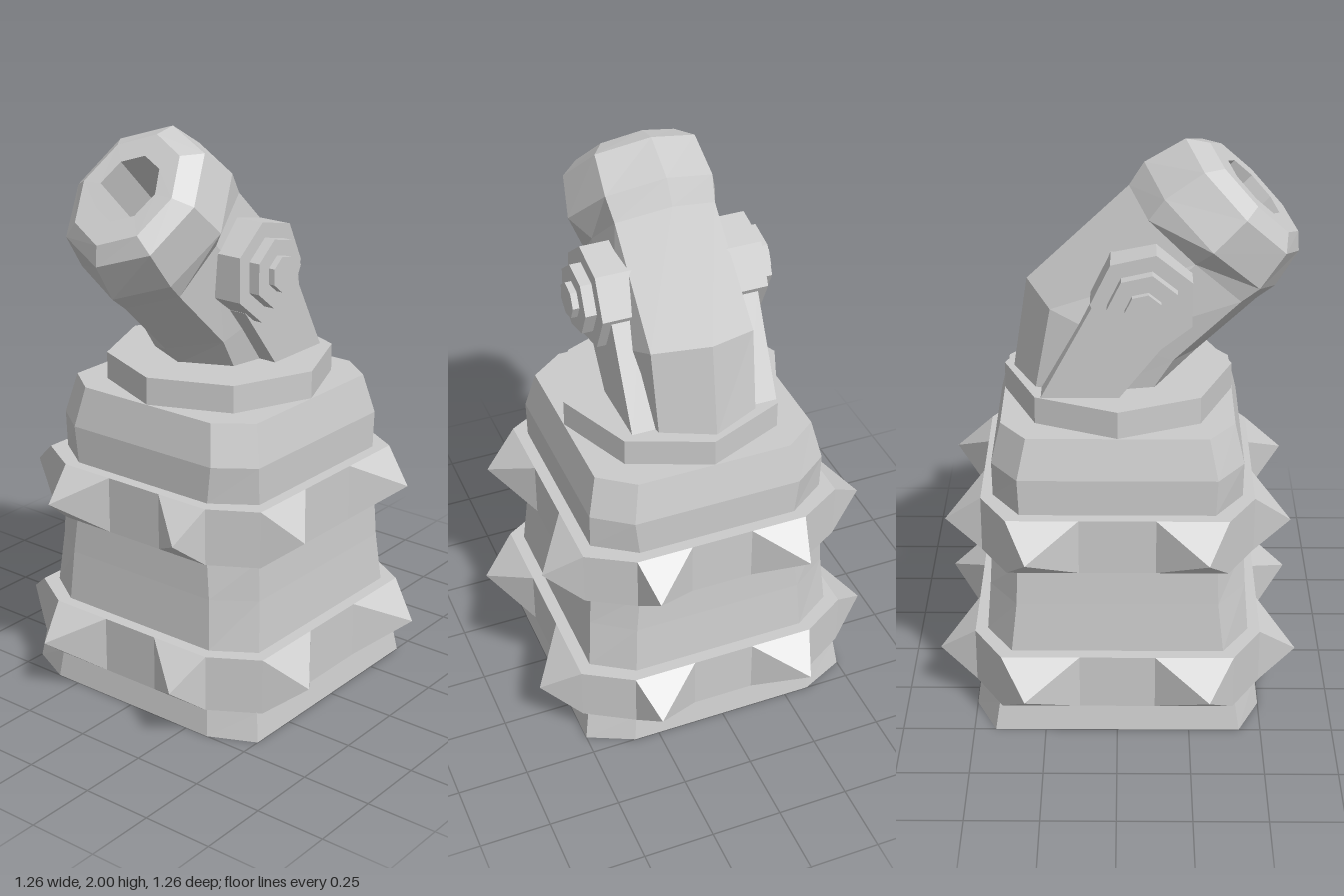
import * as THREE from 'three';
import { ConvexGeometry } from 'three/addons/geometries/ConvexGeometry.js';

const V = (x, y, z) => new THREE.Vector3(x, y, z);
const solid = new THREE.MeshStandardMaterial({ color: 0xcccccc, flatShading: true });
const shell = new THREE.MeshStandardMaterial({ color: 0xcccccc, flatShading: true, side: THREE.DoubleSide });
const MOUNT_X = -0.02; // the barrel and its mount sit slightly off centre

function add(parent, name, geometry, material = solid) {
  const mesh = new THREE.Mesh(geometry, material);
  mesh.name = name;
  parent.add(mesh);
  return mesh;
}

// Skins a list of equal-sized rings, optionally closing the last one.
function loft(rings, capEnd = false) {
  const pos = [];
  const tri = (...pts) => pts.forEach((p) => pos.push(p.x, p.y, p.z));
  for (let r = 0; r + 1 < rings.length; r++) {
    const a = rings[r], b = rings[r + 1];
    for (let i = 0; i < a.length; i++) {
      const j = (i + 1) % a.length;
      tri(a[i], a[j], b[j]);
      tri(a[i], b[j], b[i]);
    }
  }
  const end = rings[rings.length - 1];
  if (capEnd) for (let i = 1; i + 1 < end.length; i++) tri(end[0], end[i], end[i + 1]);
  const g = new THREE.BufferGeometry();
  g.setAttribute('position', new THREE.Float32BufferAttribute(pos, 3));
  g.computeVertexNormals();
  return g;
}

// Square of half width h with cut corners; faces run to cx and cz.
const cutSquare = ([y, h, cx, cz]) => [
  [h, -cz], [cx, -h], [-cx, -h], [-h, -cz], [-h, cz], [-cx, h], [cx, h], [h, cz],
].map(([x, z]) => V(x, y, z));

// Eight-sided barrel section between a top and a bottom point given as z, y.
function barrelRing([tz, ty, bz, by, side, diag]) {
  const ring = [];
  for (let i = 0; i < 8; i++) {
    const a = (i * Math.PI) / 4;
    const x = i % 2 ? Math.sign(Math.cos(a)) * diag : Math.cos(a) * side;
    const s = Math.sin(a);
    ring.push(V(x, (ty + by) / 2 + (s * (ty - by)) / 2, (tz + bz) / 2 + (s * (tz - bz)) / 2));
  }
  return ring;
}

// Band around the tower with two spikes on every face.
function spikedBand(y0, y1, h, cx, cz, tip, tipSide) {
  const band = new THREE.Group();
  band.name = 'spikedBand';
  const inner = [h - 0.06, cx - 0.04, cz - 0.05];
  add(band, 'band', loft([
    [y0, ...inner], [y0, h, cx, cz], [y1, h, cx, cz], [y1, ...inner],
  ].map(cutSquare)));
  const mid = (y0 + y1) / 2;
  for (const sx of [-1, 1]) for (const sz of [-1, 1]) {
    const front = [V(sx * tipSide, mid, sz * tip)];
    const side = [V(sx * tip, mid, sz * (tipSide + 0.03))];
    for (const y of [y0, y1]) {
      front.push(V(sx * 0.11, y, sz * h), V(sx * cx, y, sz * h));
      side.push(V(sx * h, y, sz * 0.13), V(sx * h, y, sz * cz));
    }
    add(band, 'frontBackSpike', new ConvexGeometry(front));
    add(band, 'sideSpike', new ConvexGeometry(side));
  }
  return band;
}

export function createModel() {
  const model = new THREE.Group();
  model.name = 'cannonTower';

  // Tower, open underneath
  add(model, 'tower', loft([
    [0, 0.5, 0.34, 0.425],
    [0.1, 0.485, 0.33, 0.41],
    [0.3, 0.457, 0.315, 0.365],
    [0.48, 0.443, 0.305, 0.345],
    [0.62, 0.435, 0.29, 0.34],
    [0.82, 0.427, 0.285, 0.33],
    [0.95, 0.428, 0.3, 0.335],
    [1.09, 0.395, 0.275, 0.305],
  ].map(cutSquare), true), shell);

  model.add(spikedBand(0.1, 0.3, 0.5, 0.335, 0.4, 0.63, 0.285));
  model.add(spikedBand(0.62, 0.82, 0.468, 0.31, 0.375, 0.595, 0.275));

  // Turntable
  add(model, 'turntable', new THREE.CylinderGeometry(0.393, 0.393, 0.1, 8)).position.y = 1.136;

  const gun = new THREE.Group();
  gun.name = 'gun';
  gun.position.x = MOUNT_X;
  model.add(gun);

  // Barrel with flared muzzle and hollow bore
  const bore = [0.36, 1.925, 0.535, 1.745, 0.115, 0.081];
  const deep = bore.map((v, i) => (i < 4 ? v - 0.22 : v));
  add(gun, 'barrel', loft([
    [-0.36, 1.18, 0.2, 1.18, 0.21, 0.175],
    [-0.31, 1.51, 0.27, 1.25, 0.235, 0.182],
    [0.035, 1.84, 0.47, 1.44, 0.205, 0.178],
    [0.085, 1.92, 0.53, 1.485, 0.268, 0.19],
    [0.22, 2.0, 0.605, 1.61, 0.245, 0.178],
    [0.3, 1.985, 0.6, 1.68, 0.185, 0.131],
    bore,
    deep,
  ].map(barrelRing), true));

  // Support arms, one each side
  const arm = new THREE.Shape([
    [0, 1.18], [0.26, 1.18], [0.08, 1.52], [-0.08, 1.62], [-0.17, 1.4],
  ].map(([x, y]) => new THREE.Vector2(x, y)));
  for (const side of [-1, 1]) {
    const g = new THREE.ExtrudeGeometry(arm, { depth: 0.1, bevelEnabled: false });
    g.rotateY(Math.PI / 2);
    add(gun, 'supportArm', g).position.x = side > 0 ? 0.162 : -0.262;
  }

  // Pivot: stepped seven-sided discs on both sides
  for (const side of [-1, 1]) {
    for (const [r, x0, x1] of [[0.175, 0.13, 0.295], [0.12, 0.29, 0.335], [0.062, 0.33, 0.358]]) {
      const g = new THREE.CylinderGeometry(r, r, x1 - x0, 7, 1, false, Math.PI);
      g.rotateZ(-Math.PI / 2);
      add(gun, 'pivotDisc', g).position.set((side * (x0 + x1)) / 2, 1.535, 0.085);
    }
  }
  return model;
}
